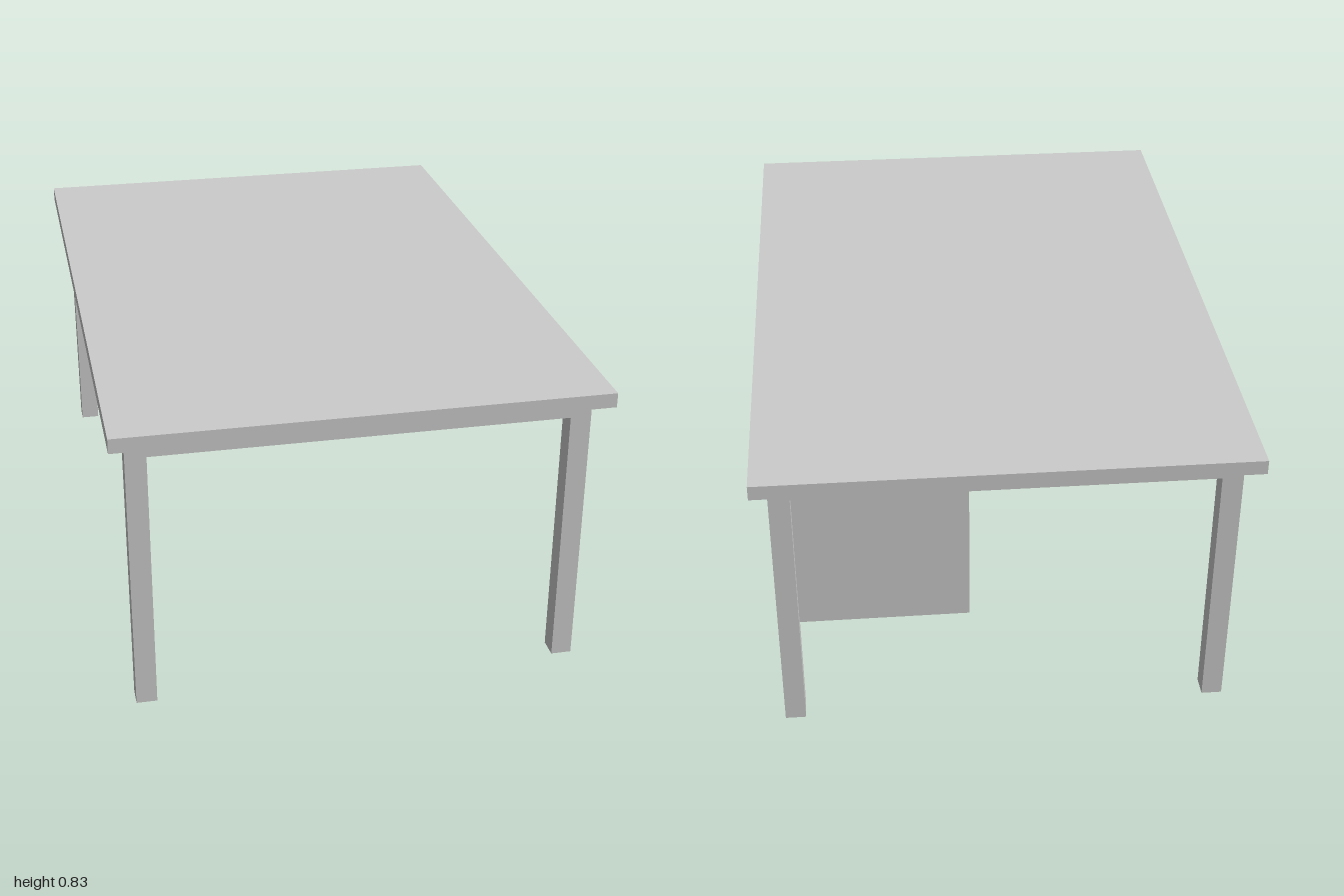
import * as THREE from 'three';

const material = new THREE.MeshStandardMaterial({ color: 0xcccccc, flatShading: true });

// Box given by its min and max along each axis
function box(name, [x0, x1], [y0, y1], [z0, z1]) {
  const mesh = new THREE.Mesh(new THREE.BoxGeometry(x1 - x0, y1 - y0, z1 - z0), material);
  mesh.position.set((x0 + x1) / 2, (y0 + y1) / 2, (z0 + z1) / 2);
  mesh.name = name;
  return mesh;
}

export function createModel() {
  const desk = new THREE.Group();
  desk.name = 'desk';
  // the desk stands slightly turned
  desk.rotation.y = -0.0707;

  const apronX = 0.611, apronZ = 0.896, legW = 0.056;
  const apronY = 0.74, slabY = 0.79, topY = 0.83;

  // Worktop and the inset block beneath it
  desk.add(box('worktop', [-0.654, 0.654], [slabY, topY], [-0.956, 0.956]));
  desk.add(box('apron', [-apronX, apronX], [apronY, slabY], [-apronZ, apronZ]));

  // Square legs flush with the apron corners
  for (const sx of [-1, 1]) for (const sz of [-1, 1]) {
    const leg = box('leg', [-legW / 2, legW / 2], [0, apronY], [-legW / 2, legW / 2]);
    leg.position.x = sx * (apronX - legW / 2);
    leg.position.z = sz * (apronZ - legW / 2);
    desk.add(leg);
  }

  // Hanging shelf unit, open on the +x side
  const unit = new THREE.Group();
  unit.name = 'shelfUnit';
  const back = 0.097, open = 0.604, zIn = -0.148, zOut = -0.83, t = 0.03, low = 0.31;
  unit.add(box('frontSidePanel', [back + t, open], [low, apronY], [zIn, zIn + t]));
  unit.add(box('rearSidePanel', [back + t, open], [low, apronY], [zOut - t, zOut]));
  unit.add(box('backPanel', [back, back + t], [low, apronY], [zOut - t, zIn + t]));
  for (const y of [low, 0.533]) {
    unit.add(box('shelf', [back + t, open], [y, y + 0.038], [zOut, zIn]));
  }
  desk.add(unit);

  const model = new THREE.Group();
  model.add(desk);
  return model;
}
